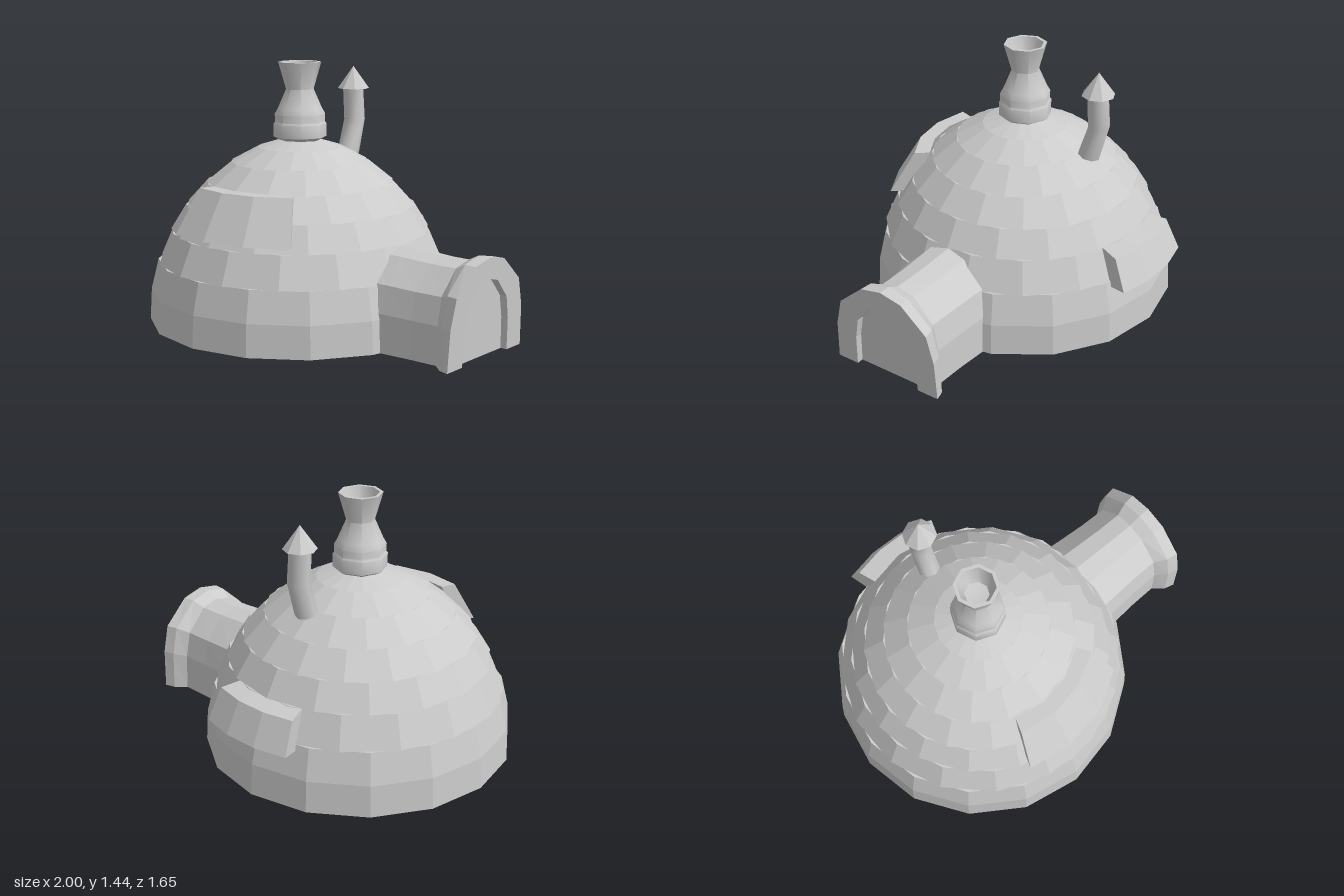
import * as THREE from 'three';
import { toCreasedNormals } from 'three/addons/utils/BufferGeometryUtils.js';

const flat = new THREE.MeshStandardMaterial({ color: 0xcccccc, flatShading: true, side: THREE.DoubleSide });
const smooth = new THREE.MeshStandardMaterial({ color: 0xcccccc, side: THREE.DoubleSide });
const CX = -0.2, CZ = 0.02; // dome axis

function add(group, name, geometry, material = flat) {
  const mesh = new THREE.Mesh(geometry, material);
  mesh.name = name;
  group.add(mesh);
  return mesh;
}

// Skin a series of equal-length cross-sections; closed ones wrap round and get end caps
function loft(sections, closed) {
  const n = sections[0].length, index = [];
  for (let i = 0; i < sections.length - 1; i++) {
    for (let j = 0; j < (closed ? n : n - 1); j++) {
      const a = i * n + j, b = i * n + (j + 1) % n;
      index.push(a, b, a + n, b, b + n, a + n);
    }
  }
  if (closed) {
    const e = (sections.length - 1) * n;
    for (let j = 1; j < n - 1; j++) index.push(0, j + 1, j, e, e + j, e + j + 1);
  }
  const g = new THREE.BufferGeometry();
  g.setAttribute('position', new THREE.Float32BufferAttribute(sections.flat(2), 3));
  g.setIndex(index);
  g.computeVertexNormals();
  return g;
}

// Arched section across the tunnel; lean pushes its top outwards
function arch(x, halfWidth, top, lean = 0) {
  const half = [[1, 0], [0.97, 0.41], [0.85, 0.7], [0.39, 0.95]];
  const outline = [...half, [0, 1], ...half.map(([z, y]) => [-z, y]).reverse()];
  return outline.map(([z, y]) => [x + lean * y, 0.085 + y * (top - 0.085), CZ + z * halfWidth]);
}

// Radial [r, y] profile swept about the dome axis between two angles (degrees from the front)
function arcPanel(profile, from, to, steps) {
  const sections = [];
  for (let i = 0; i <= steps; i++) {
    const a = THREE.MathUtils.degToRad(from + (to - from) * i / steps);
    sections.push(profile.map(([r, y]) => [CX + r * Math.sin(a), y, CZ + r * Math.cos(a)]));
  }
  return loft(sections, true);
}

const lathe = (points, sides) => new THREE.LatheGeometry(points.map(p => new THREE.Vector2(...p)), sides);

export function createModel() {
  const model = new THREE.Group();
  model.name = 'igloo';

  // Dome: courses of blocks, staggered by half a block
  const dome = new THREE.Group();
  dome.name = 'dome';
  model.add(dome);
  const rings = [[0.8, 0.085], [0.79, 0.25], [0.75, 0.41], [0.68, 0.57], [0.6, 0.7],
    [0.49, 0.82], [0.36, 0.925], [0.22, 1.0], [0.1, 1.037]];
  for (let i = 0; i < rings.length - 1; i++) {
    const [r0, y0] = rings[i], [r1, y1] = rings[i + 1];
    const turn = i > 0 && i % 2 === 0 ? Math.PI / 16 : 0;
    const course = add(dome, 'blockCourse', new THREE.CylinderGeometry(r1, r0, y1 - y0, 16, 1, false, turn));
    course.position.set(CX, (y0 + y1) / 2, CZ);
  }

  // Shallow rounded underside
  add(model, 'base', lathe([[0, 0.003], [0.35, 0.022], [0.8, 0.085]], 16), smooth).position.set(CX, 0, CZ);

  // Entrance tunnel with flared frame and recessed door, open underneath
  add(model, 'entranceTunnel', loft([
    arch(0.42, 0.275, 0.565),
    arch(0.55, 0.262, 0.56),
    arch(0.72, 0.25, 0.552),
    arch(0.87, 0.246, 0.552),
    arch(0.925, 0.295, 0.585, 0.01),
    arch(0.98, 0.31, 0.585, 0.02),
    arch(0.98, 0.19, 0.48, 0.016),
  ], false));
  add(model, 'door', loft([
    arch(0.98, 0.19, 0.48, 0.016),
    arch(0.945, 0.19, 0.48, 0.01),
    arch(0.945, 0, 0.085),
  ], false));

  // Curved windows
  add(model, 'frontWindow',
    arcPanel([[0.715, 0.605], [0.58, 0.83], [0.5, 0.83], [0.6, 0.605]], -19, 38, 3));
  add(model, 'backWindow',
    arcPanel([[0.85, 0.395], [0.775, 0.555], [0.66, 0.57], [0.745, 0.378]], 160, 197, 3));

  // Waisted central chimney with a hollow mouth
  const chimney = lathe([[0, 1.02], [0.1, 1.03], [0.138, 1.052], [0.138, 1.12], [0.13, 1.13], [0.132, 1.17],
    [0.115, 1.2], [0.072, 1.3], [0.112, 1.44], [0.094, 1.44], [0.06, 1.34], [0, 1.33]], 8);
  add(model, 'chimney', toCreasedNormals(chimney, 0.9), smooth).position.set(CX, 0, CZ);

  // Bent stove pipe with a conical cap
  const pipe = new THREE.CylinderGeometry(0.055, 0.058, 0.35, 8, 2);
  const pos = pipe.attributes.position;
  const bend = [-0.375, -0.428, -0.415], level = [0.925, 1.1, 1.275];
  for (let i = 0; i < pos.count; i++) {
    const k = Math.round(pos.getY(i) / 0.175) + 1;
    const z = pos.getZ(i);
    pos.setXYZ(i, pos.getX(i) + CX, level[k] + (k === 0 ? 0.25 * z : 0), z + bend[k]);
  }
  pipe.computeVertexNormals();
  add(model, 'stovePipe', toCreasedNormals(pipe, 0.9), smooth);
  add(model, 'stovePipeCap', new THREE.ConeGeometry(0.085, 0.12, 8)).position.set(CX, 1.33, -0.417);

  return model;
}
